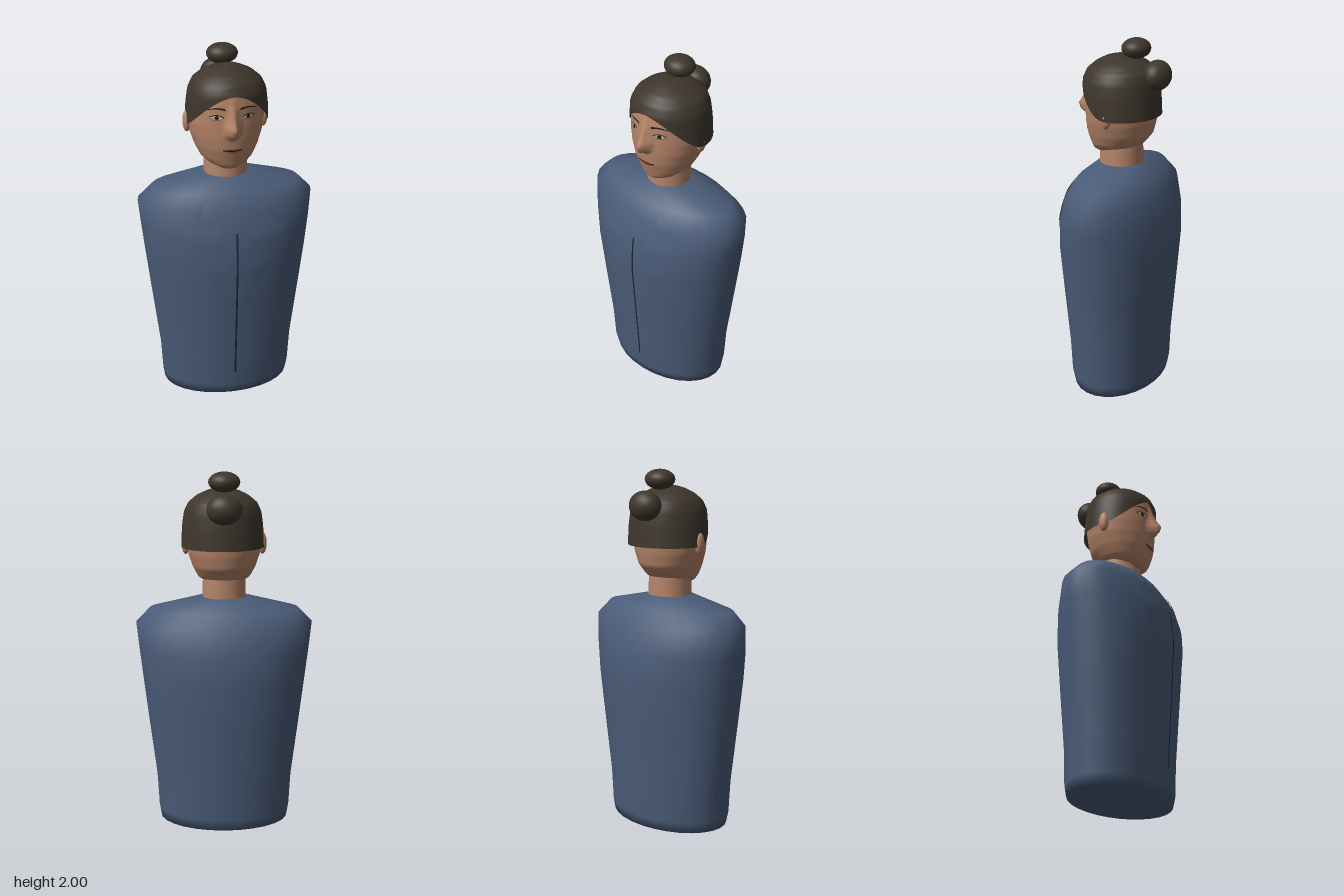
import * as THREE from 'three';

const mat = (name, color, side = THREE.FrontSide) => {
  const m = new THREE.MeshStandardMaterial({ color, side });
  m.name = name;
  return m;
};

// Each row: height, half width, front z, back z
const TORSO = [
  [0, 0.37, 0.245, -0.26], [0.06, 0.38, 0.26, -0.272], [0.25, 0.39, 0.268, -0.278],
  [0.6, 0.432, 0.293, -0.303], [0.85, 0.461, 0.31, -0.32], [1.02, 0.48, 0.298, -0.312],
  [1.165, 0.494, 0.25, -0.272], [1.245, 0.415, 0.2, -0.21], [1.31, 0.125, 0.12, -0.13],
];
const HEAD = [
  [1.365, 0.05, 0.135, 0.03], [1.385, 0.1, 0.155, -0.05], [1.42, 0.145, 0.165, -0.13],
  [1.48, 0.175, 0.183, -0.18], [1.55, 0.198, 0.19, -0.197], [1.62, 0.21, 0.19, -0.205],
  [1.72, 0.21, 0.187, -0.205], [1.8, 0.19, 0.175, -0.185], [1.85, 0.145, 0.13, -0.14],
  [1.88, 0.08, 0.07, -0.08],
];
const HAIR = [
  [1.585, 0.228, 0.2, -0.228], [1.7, 0.223, 0.201, -0.222], [1.78, 0.212, 0.2, -0.214],
  [1.83, 0.188, 0.178, -0.198], [1.87, 0.14, 0.13, -0.15], [1.895, 0.085, 0.08, -0.095],
  [1.907, 0.04, 0.04, -0.045], [1.911, 0.001, 0.001, -0.001],
];
const NOSE = [[1.545, 0], [1.575, 0.055], [1.61, 0.068], [1.66, 0.037], [1.73, 0.01], [1.78, 0]];

// Linear lookup in a table sorted by height
function lookup(rows, y) {
  if (y <= rows[0][0]) return rows[0];
  for (let i = 1; i < rows.length; i++) {
    const a = rows[i - 1], b = rows[i];
    if (y <= b[0]) return a.map((v, k) => v + (b[k] - v) * (y - a[0]) / (b[0] - a[0]));
  }
  return rows[rows.length - 1];
}

// Point on an elliptical cross-section; angle 0 faces the front
function ring(rows, y, angle) {
  const [, w, f, b] = lookup(rows, y);
  return [w * Math.sin(angle), y, (f + b) / 2 + (f - b) / 2 * Math.cos(angle)];
}

// Front surface depth at (x, y)
function frontZ(rows, x, y) {
  const [, w] = lookup(rows, y);
  return ring(rows, y, Math.asin(Math.max(-1, Math.min(1, x / w))))[2];
}

function noseBump(x, y) {
  if (y < NOSE[0][0]) return 0;
  const h = lookup(NOSE, y)[1];
  return h * Math.max(0, 1 - Math.abs(x) / (0.02 + 0.45 * h));
}

const torsoZ = (x, y) => frontZ(TORSO, x, y);
const headZ = (x, y) => frontZ(HEAD, x, y) + noseBump(x, y);

function build(pos, index) {
  const g = new THREE.BufferGeometry();
  g.setAttribute('position', new THREE.Float32BufferAttribute(pos, 3));
  g.setIndex(index);
  g.computeVertexNormals();
  return g;
}

// Closed rings stacked upward, optionally capped
function loft(rows, segs, point, capped) {
  const pos = [], index = [];
  for (let i = 0; i <= rows; i++)
    for (let j = 0; j < segs; j++) pos.push(...point(i, j / segs * Math.PI * 2));
  for (let i = 0; i < rows; i++)
    for (let j = 0; j < segs; j++) {
      const k = (j + 1) % segs, a = i * segs, c = a + segs;
      index.push(a + j, a + k, c + k, a + j, c + k, c + j);
    }
  if (capped) {
    for (const [row, top] of [[0, false], [rows, true]]) {
      const start = row * segs, centre = pos.length / 3;
      const p = point(row, 0), q = point(row, Math.PI);
      pos.push(0, p[1], (p[2] + q[2]) / 2);
      for (let j = 0; j < segs; j++) {
        const a = start + j, b = start + (j + 1) % segs;
        index.push(centre, top ? a : b, top ? b : a);
      }
    }
  }
  return build(pos, index);
}

// Thin patch lying on a front surface; shape(u, v) gives x and y
function patch(nu, nv, shape, depth, lift, side = 1) {
  const pos = [], index = [];
  for (let i = 0; i <= nv; i++)
    for (let j = 0; j <= nu; j++) {
      const u = j / nu;
      const [x, y] = shape(side < 0 ? 1 - u : u, i / nv);
      pos.push(side * x, y, depth(x, y) + lift);
    }
  for (let i = 0; i < nv; i++)
    for (let j = 0; j < nu; j++) {
      const a = i * (nu + 1) + j, c = a + nu + 1;
      index.push(a, a + 1, c + 1, a, c + 1, c);
    }
  return build(pos, index);
}

export function createModel() {
  const group = new THREE.Group();
  const jacket = mat('jacket blue', 0x4a5c78, THREE.DoubleSide);
  const skin = mat('skin', 0xb58468);
  const hair = mat('dark brown hair', 0x3e362c, THREE.DoubleSide);
  const seam = mat('seam dark', 0x1c232d, THREE.DoubleSide);
  const brow = mat('brow dark', 0x211912, THREE.DoubleSide);
  const eyeWhite = mat('eye white', 0xc4b5a6, THREE.DoubleSide);
  const iris = mat('iris brown', 0x2c1d14, THREE.DoubleSide);
  const lip = mat('lip', 0x8f5e4c, THREE.DoubleSide);

  const add = (name, geometry, material, position = [0, 0, 0], scale = [1, 1, 1]) => {
    const m = new THREE.Mesh(geometry, material);
    m.name = name;
    m.position.set(...position);
    m.scale.set(...scale);
    group.add(m);
    return m;
  };

  // Torso, seam and neck
  add('torso', loft(TORSO.length - 1, 28, (i, a) => ring(TORSO, TORSO[i][0], a), true), jacket);
  add('frontSeam', patch(1, 24, (u, v) => [(u - 0.5) * 0.01, 0.15 + 0.9 * v], torsoZ, 0.008), seam);
  add('neck', new THREE.CylinderGeometry(0.117, 0.122, 0.16, 32), skin, [0, 1.37, -0.005]);

  // Head with the nose raised from the face
  const headRows = 48;
  add('head', loft(headRows, 80, (i, a) => {
    const p = ring(HEAD, 1.365 + 0.515 * i / headRows, a);
    if (Math.cos(a) > 0) p[2] += noseBump(p[0], p[1]);
    return p;
  }, true), skin);

  // Hair cap: hairline arches over the forehead, level around the back
  const hairRows = 24;
  add('hairCap', loft(hairRows, 48, (i, a) => {
    const hem = 1.588 + 0.195 * Math.pow(Math.max(0, Math.cos(a)), 1.8);
    const t = 1 - i / hairRows;
    const p = ring(HAIR, 1.911 - (1.911 - hem) * t * t, a);
    p[0] += 0.008;
    return p;
  }, false), hair);
  const ball = new THREE.SphereGeometry(1, 32, 20);
  add('topBun', ball, hair, [0, 1.945, -0.09], [0.086, 0.055, 0.078]);
  add('backBun', ball, hair, [0, 1.81, -0.212], [0.096, 0.081, 0.076]);

  // Paired parts
  for (const [side, tag] of [[1, 'left'], [-1, 'right']]) {
    const face = (name, nu, nv, shape, lift, m) =>
      add(tag + name, patch(nu, nv, shape, headZ, lift, side), m);

    const [I, B, O, T] = [[0.047, 0.9], [0.112, 0.7], [0.295, 1.07], [0.132, 1.225]];
    add(tag + 'Lapel', patch(12, 12, (u, v) => [0, 1].map(k =>
      (I[k] * (1 - u) + B[k] * u) * (1 - v) + (T[k] * (1 - u) + O[k] * u) * v),
    torsoZ, 0.007, side), jacket);

    add(tag + 'Ear', ball, skin, [side * 0.212, 1.605, -0.01], [0.023, 0.06, 0.03]);

    // Almond eye, iris, upper lid and eyebrow
    const arch = u => Math.sin(Math.PI * u);
    face('Eye', 12, 4, (u, v) => [0.053 + 0.065 * u, 1.67 + arch(u) * (v * 0.026 - 0.013)], 0.003, eyeWhite);
    face('Iris', 10, 4, (u, v) => [0.085 + 0.011 * -Math.cos(Math.PI * u),
      1.671 + arch(u) * (v - 0.5) * 0.022], 0.005, iris);
    face('UpperLid', 12, 1, (u, v) => [0.05 + 0.072 * u, 1.67 + arch(u) * 0.013 + 0.005 * v], 0.006, brow);
    face('LowerLid', 12, 1, (u, v) => [0.055 + 0.062 * u, 1.668 - arch(u) * 0.013 + 0.002 * v], 0.004, brow);
    face('Eyebrow', 12, 1, (u, v) => [0.04 + 0.088 * u,
      1.708 + 0.013 * Math.sin(Math.PI * (0.15 + 0.75 * u)) + 0.01 * (v - 0.5) * (1.1 - u * 0.7)], 0.005, brow);
  }

  // Mouth
  add('lips', patch(14, 4, (u, v) => [(u - 0.5) * 0.096,
    1.483 + Math.sin(Math.PI * u) * (v - 0.5) * 0.024], headZ, 0.003), lip);
  add('mouthLine', patch(14, 1, (u, v) => [(u - 0.5) * 0.104,
    1.485 + 0.02 * (u - 0.5) ** 2 + (v - 0.5) * 0.007], headZ, 0.006), brow);

  return group;
}
